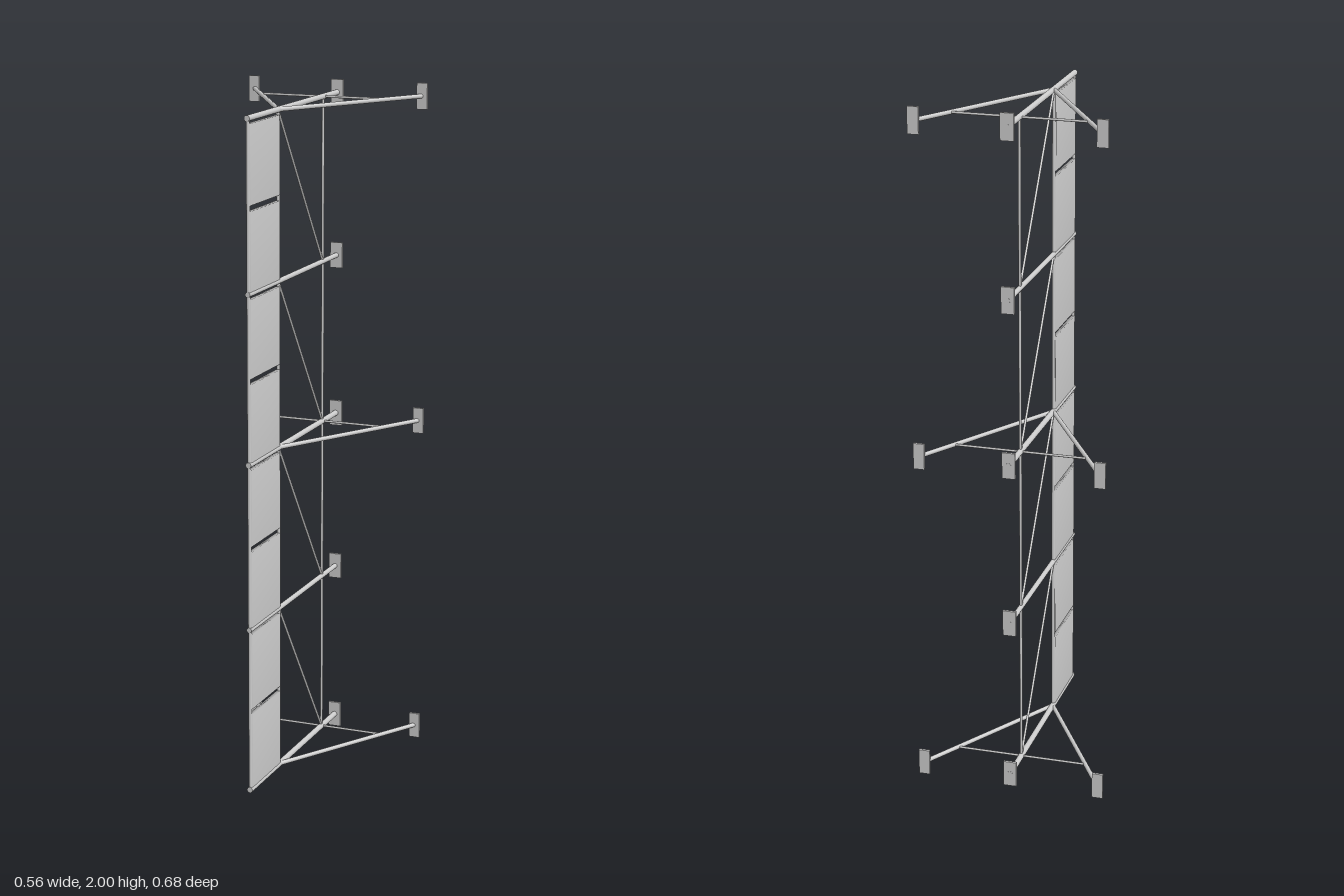
import * as THREE from 'three';
import { mergeVertices } from 'three/addons/utils/BufferGeometryUtils.js';

const material = new THREE.MeshStandardMaterial({ color: 0xcccccc });
const BOTTOM = 0.04, BAY = 0.4805, BAYS = 4;
const BACK = -0.335, FRONT = 0.337, MAST_Z = -0.222, INNER_Z = 0.118, OUTER_Z = 0.33;

function add(parent, name, geometry) {
  const mesh = new THREE.Mesh(geometry, material);
  mesh.name = name;
  parent.add(mesh);
  return mesh;
}

// Round bar between two points
function bar(parent, name, from, to, radius) {
  const a = new THREE.Vector3(...from), b = new THREE.Vector3(...to);
  const dir = b.clone().sub(a);
  const mesh = add(parent, name, new THREE.CylinderGeometry(radius, radius, dir.length(), 14));
  mesh.position.copy(a).add(b).multiplyScalar(0.5);
  mesh.quaternion.setFromUnitVectors(new THREE.Vector3(0, 1, 0), dir.normalize());
  return mesh;
}

function plate(parent, x, y, width) {
  add(parent, 'wallPlate', new THREE.BoxGeometry(width, 0.076, 0.008)).position.set(x, y, BACK);
}

// Thin panel with softened shading across its shared corners
function panelGeometry() {
  const box = new THREE.BoxGeometry(0.012, 0.222, 0.206);
  box.deleteAttribute('normal');
  box.deleteAttribute('uv');
  const geometry = mergeVertices(box);
  geometry.computeVertexNormals();
  return geometry;
}

export function createModel() {
  const model = new THREE.Group();
  model.name = 'bladeSignFrame';
  const top = BOTTOM + BAY * BAYS;

  // Horizontal arms, with splayed braces on every second level
  for (let i = 0; i <= BAYS; i++) {
    const y = BOTTOM + i * BAY;
    const level = new THREE.Group();
    level.name = 'bracketLevel';
    model.add(level);
    const braced = i % 2 === 0;
    bar(level, 'mainArm', [0, y, BACK - 0.005], [0, y, FRONT], braced ? 0.0085 : 0.0075);
    plate(level, 0, y, 0.038);
    if (!braced) continue;
    for (const side of [-1, 1]) {
      bar(level, 'sideBrace', [0, y, 0.115], [side * 0.261, y, BACK], 0.0065);
      plate(level, side * 0.262, y, 0.032);
    }
    bar(level, 'crossBar', [-0.195, y, MAST_Z], [0.195, y, MAST_Z], 0.0035);
  }

  // Uprights: rear mast and the two posts that hold the panels
  bar(model, 'rearMast', [0, BOTTOM, MAST_Z], [0, top, MAST_Z], 0.004);
  bar(model, 'innerPost', [0, BOTTOM, INNER_Z], [0, top, INNER_Z], 0.005);
  bar(model, 'outerPost', [0, BOTTOM, OUTER_Z], [0, top, OUTER_Z], 0.005);

  // Each bay has one diagonal tie and two panels
  const panel = panelGeometry();
  for (let i = 0; i < BAYS; i++) {
    const y = BOTTOM + i * BAY;
    bar(model, 'diagonalTie', [0, y, MAST_Z], [0, y + BAY, INNER_Z], 0.0035);
    for (const offset of [0.117, 0.355]) {
      add(model, 'panel', panel).position.set(0, y + offset, (INNER_Z + OUTER_Z) / 2);
    }
  }
  return model;
}
